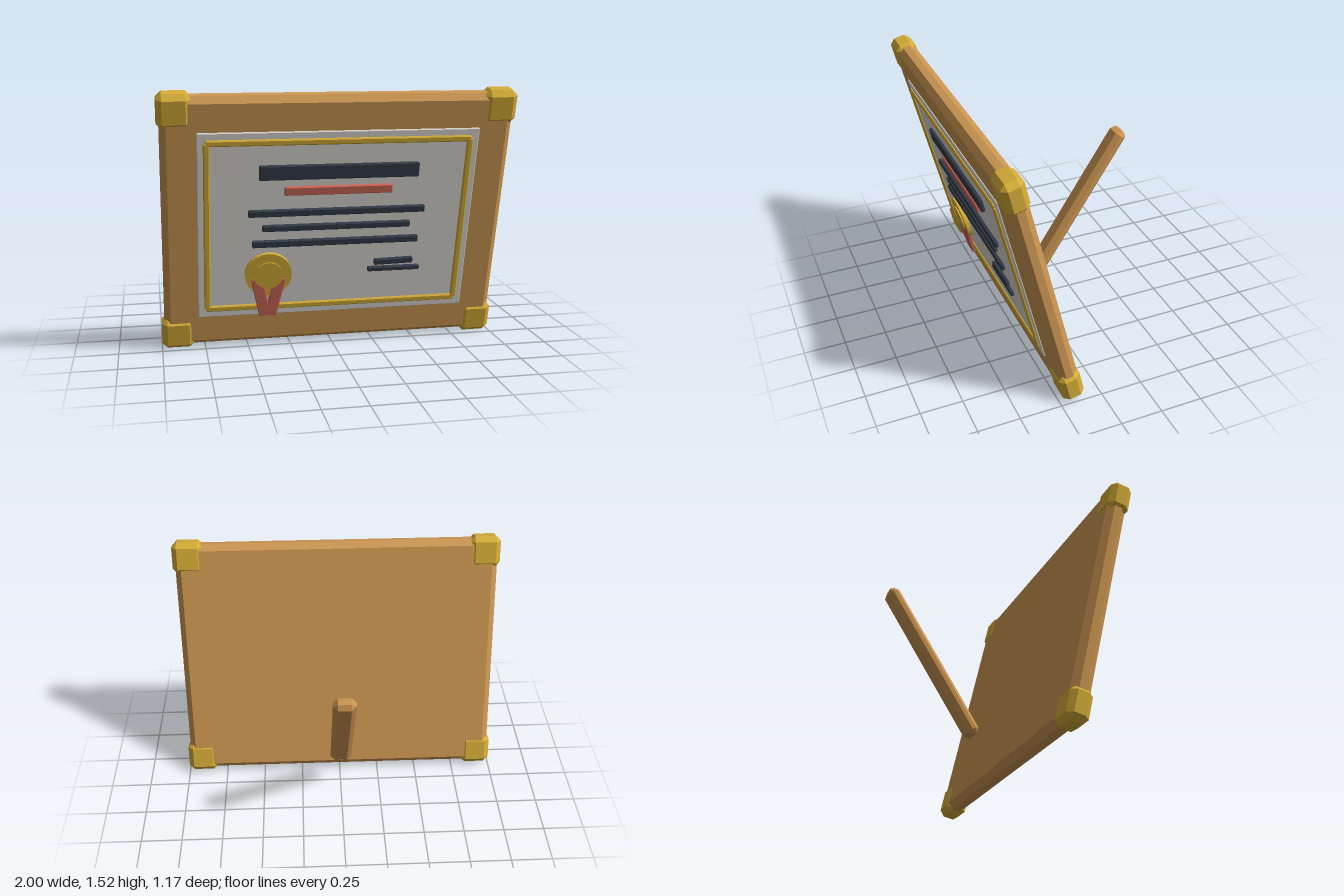
import * as THREE from 'three';
import { ConvexGeometry } from 'three/addons/geometries/ConvexGeometry.js';

const material = (name, color) => {
  const m = new THREE.MeshStandardMaterial({ color });
  m.name = name;
  return m;
};

// Box with every edge cut at 45 degrees
function chamferBox(w, h, d, c) {
  const points = [];
  for (const sx of [-1, 1]) for (const sy of [-1, 1]) for (const sz of [-1, 1]) {
    for (let axis = 0; axis < 3; axis++) {
      const p = [w / 2 - c, h / 2 - c, d / 2 - c];
      p[axis] += c;
      points.push(new THREE.Vector3(p[0] * sx, p[1] * sy, p[2] * sz));
    }
  }
  return new ConvexGeometry(points);
}

export function createModel() {
  const wood = material('wood', 0xcc9652);
  const gold = material('gold', 0xd4ac37);
  const paper = material('paper', 0xdad7d0);
  const ink = material('ink', 0x333b47);
  const red = material('red', 0xcc6658);

  const model = new THREE.Group();
  model.name = 'framedCertificate';

  // Everything on the leaning plaque is laid out flat, then tilted forward
  const plaque = new THREE.Group();
  plaque.name = 'plaque';
  plaque.position.set(0, 0.76, 0.34);
  plaque.rotation.x = 0.24;
  model.add(plaque);

  function add(parent, name, geometry, mat, x = 0, y = 0, z = 0) {
    const mesh = new THREE.Mesh(geometry, mat);
    mesh.name = name;
    mesh.position.set(x, y, z);
    parent.add(mesh);
    return mesh;
  }

  // Wooden board and paper sheet
  add(plaque, 'frame', chamferBox(1.97, 1.52, 0.115, 0.036), wood, 0, 0, -0.002);
  add(plaque, 'paperSheet', chamferBox(1.58, 1.13, 0.03, 0.005), paper, 0, 0, 0.05);

  // Metal corner caps
  const cap = chamferBox(0.19, 0.195, 0.13, 0.032);
  for (const sx of [-1, 1]) for (const sy of [-1, 1]) {
    add(plaque, 'cornerCap', cap, gold, sx * 0.905, sy * 0.678, 0);
  }

  // Gold border lines
  const across = chamferBox(1.49, 0.036, 0.024, 0.007);
  const upright = chamferBox(0.036, 1.02, 0.024, 0.007);
  for (const s of [-1, 1]) {
    add(plaque, 'borderAcross', across, gold, 0, s * 0.508, 0.066);
    add(plaque, 'borderUpright', upright, gold, s * 0.738, 0, 0.066);
  }

  // Bars standing for the writing: name, centre x, centre y, width, height
  const bars = [
    ['titleBar', 0, 0.333, 0.905, 0.085, ink],
    ['subtitleBar', -0.002, 0.222, 0.615, 0.05, red],
    ['textBar', -0.002, 0.09, 1.015, 0.04, ink],
    ['textBar', -0.002, -0.003, 0.855, 0.037, ink],
    ['textBar', -0.002, -0.1, 0.965, 0.04, ink],
    ['signatureLine', 0.35, -0.29, 0.31, 0.028, ink],
  ];
  for (const [name, x, y, w, h, mat] of bars) {
    add(plaque, name, chamferBox(w, h, 0.026, 0.005), mat, x, y, 0.074);
  }
  const signature = add(plaque, 'signature', chamferBox(0.23, 0.036, 0.026, 0.005), ink, 0.346, -0.242, 0.074);
  signature.rotation.z = 0.025;

  // Round seal with a raised centre and two ribbon tails
  const seal = new THREE.Group();
  seal.name = 'seal';
  seal.position.set(-0.39, -0.292, 0);
  plaque.add(seal);
  const discs = [['sealDisc', 0.135, 0.032, 0.075], ['sealCentre', 0.083, 0.03, 0.085]];
  for (const [name, r, t, z] of discs) {
    const disc = new THREE.CylinderGeometry(r, r, t, 24).toNonIndexed();
    disc.computeVertexNormals();
    add(seal, name, disc.rotateX(Math.PI / 2), gold, 0, 0, z);
  }
  const tail = chamferBox(0.068, 0.25, 0.024, 0.005);
  for (const s of [-1, 1]) {
    const ribbon = add(seal, 'ribbonTail', tail, red, s * 0.042, -0.142, 0.084);
    ribbon.rotation.z = -s * 0.21;
  }

  // Sloping prop behind the plaque
  const prop = add(model, 'backProp', chamferBox(0.13, 1.02, 0.078, 0.027), wood, 0, 0.671, -0.298);
  prop.rotation.x = -0.559;

  return model;
}
